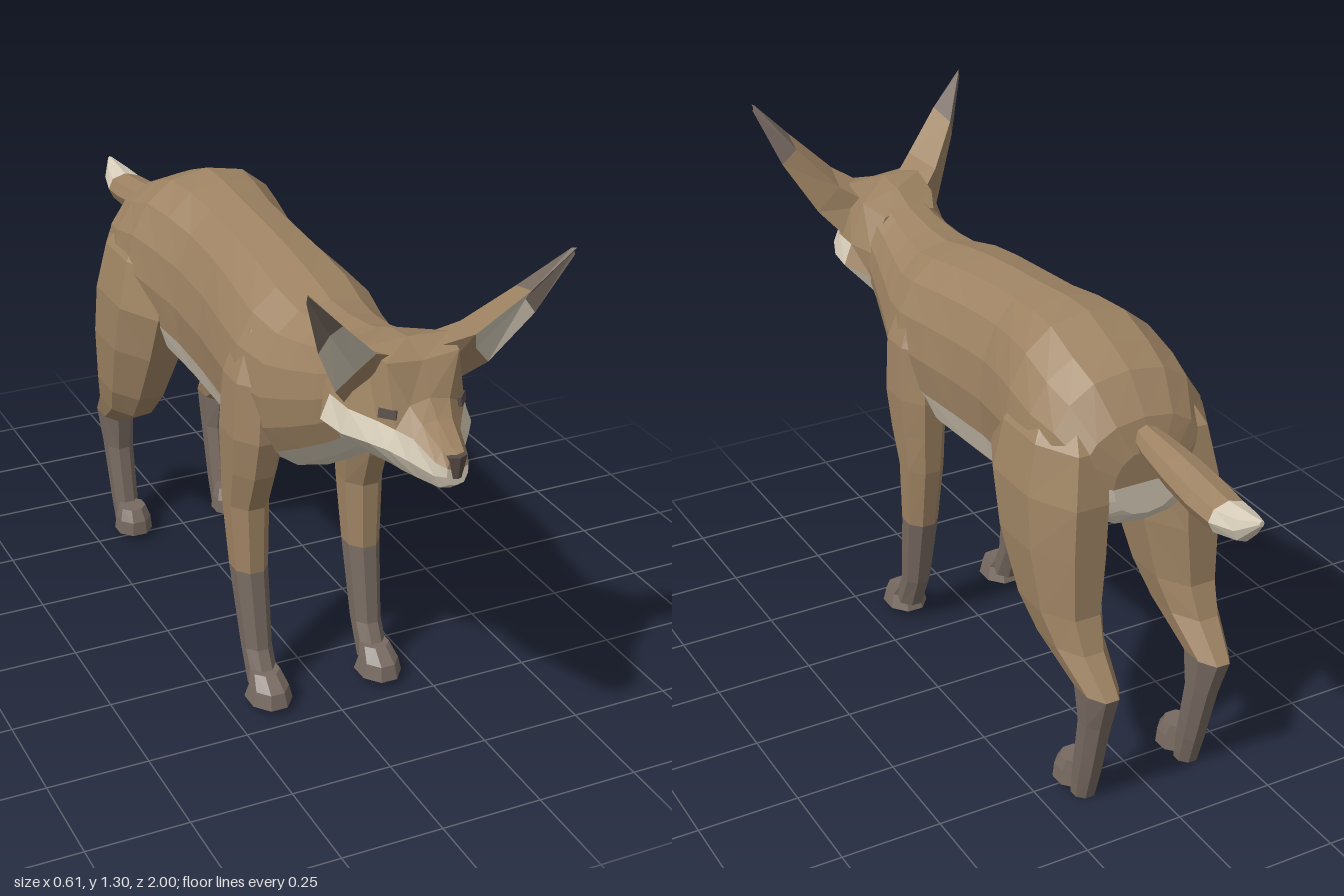
import * as THREE from 'three';

const mat = (name, color) => Object.assign(new THREE.MeshStandardMaterial({ color }), { name });
const V = (x, y, z) => new THREE.Vector3(x, y, z);

// Closed, faceted skin through a list of rings; pick(i, j) chooses the material of each quad.
function loft(name, rings, mats, pick = () => 0) {
  const buckets = mats.map(() => []);
  const n = rings[0].length, last = rings.length - 1;
  let volume = 0;
  const tri = (m, a, b, c) => {
    volume += a.dot(b.clone().cross(c));
    buckets[m].push([a, b, c]);
  };
  for (let i = 0; i < last; i++) {
    for (let j = 0; j < n; j++) {
      const k = (j + 1) % n, m = pick(i, j);
      const a = rings[i][j], b = rings[i][k], c = rings[i + 1][k], d = rings[i + 1][j];
      tri(m, a, b, c);
      tri(m, a, c, d);
    }
  }
  for (const i of [0, last]) {
    const mid = rings[i].reduce((s, p) => s.add(p), V(0, 0, 0)).divideScalar(n);
    for (let j = 0; j < n; j++) {
      const p = rings[i][j], q = rings[i][(j + 1) % n], m = pick(i === 0 ? 0 : last - 1, j);
      if (i === 0) tri(m, mid, q, p);
      else tri(m, mid, p, q);
    }
  }
  // Keep faces pointing outward whichever way the rings run
  const pos = [], geo = new THREE.BufferGeometry();
  buckets.forEach((list, m) => {
    geo.addGroup(pos.length / 3, list.length * 3, m);
    for (const [a, b, c] of list) {
      for (const p of volume > 0 ? [a, b, c] : [a, c, b]) pos.push(p.x, p.y, p.z);
    }
  });
  geo.setAttribute('position', new THREE.Float32BufferAttribute(pos, 3));
  geo.computeVertexNormals();
  const mesh = new THREE.Mesh(geo, mats);
  mesh.name = name;
  return mesh;
}

// Upright ring for the body and tail: [z, top, bottom, half width]
const uprightRing = (n) => ([z, top, bot, hw]) => Array.from({ length: n }, (_, j) => {
  const a = (j / n) * Math.PI * 2, s = Math.sin(a);
  return V(hw * Math.sign(s) * Math.abs(s) ** 0.85, (top + bot) / 2 + Math.cos(a) * (top - bot) / 2, z);
});

// Level ring for the legs: [y, x, z, half width, half depth]
const legRing = (side) => ([y, x, z, hx, hz]) => Array.from({ length: 8 }, (_, j) => {
  const a = ((j + 0.5) / 8) * Math.PI * 2;
  return V(side * (x + hx * 1.08 * Math.cos(a)), y, z + hz * 1.08 * Math.sin(a));
});

// Half outline from the crown to the chin, mirrored to a full ring
const headRing = ([z, half]) => {
  const right = half.slice(1, -1).reverse();
  return [...half.map(([x, y]) => V(x, y, z)), ...right.map(([x, y]) => V(-x, y, z))];
};

export function createModel() {
  const fur = mat('brown fur', 0x9e8363);
  const cream = mat('cream fur', 0xd6ccb8);
  const dark = mat('dark stocking', 0x776a61);
  const black = mat('nose and eye', 0x574b46);
  const group = new THREE.Group();
  group.name = 'fox';

  // Neck and torso with a cream bib, belly and rump patch
  const torso = [
    [0.76, 1.08, 0.84, 0.08], [0.68, 1.075, 0.81, 0.11], [0.58, 1.05, 0.735, 0.125],
    [0.48, 1.037, 0.67, 0.15], [0.40, 1.037, 0.62, 0.175], [0.30, 1.06, 0.60, 0.197],
    [0.18, 1.08, 0.585, 0.187], [0.05, 1.095, 0.58, 0.175], [-0.10, 1.107, 0.59, 0.175],
    [-0.20, 1.118, 0.61, 0.195], [-0.30, 1.118, 0.64, 0.217], [-0.40, 1.08, 0.66, 0.22],
    [-0.48, 1.045, 0.69, 0.205], [-0.55, 0.96, 0.70, 0.165], [-0.572, 0.89, 0.73, 0.09],
  ];
  group.add(loft('body', torso.map(uprightRing(16)), [fur, cream], (i, j) => {
    const down = j < 8 ? j : 15 - j;
    const edge = i < 5 ? 6 : i < 13 ? 5 : 4;
    return down >= edge ? 1 : 0;
  }));

  // Head, with cream cheeks and jaw
  const head = [
    [0.99, [[0, 0.922], [0.018, 0.92], [0.024, 0.9], [0.024, 0.88], [0.016, 0.862], [0, 0.858]]],
    [0.965, [[0, 0.93], [0.024, 0.928], [0.038, 0.905], [0.04, 0.875], [0.026, 0.845], [0, 0.84]]],
    [0.90, [[0, 0.965], [0.035, 0.96], [0.055, 0.932], [0.067, 0.885], [0.045, 0.842], [0, 0.835]]],
    [0.865, [[0, 1.0], [0.047, 0.99], [0.078, 0.942], [0.097, 0.90], [0.06, 0.845], [0, 0.837]]],
    [0.83, [[0, 1.07], [0.085, 1.078], [0.103, 0.952], [0.122, 0.905], [0.07, 0.847], [0, 0.838]]],
    [0.76, [[0, 1.095], [0.10, 1.09], [0.135, 0.955], [0.15, 0.90], [0.09, 0.845], [0, 0.83]]],
    [0.68, [[0, 1.085], [0.10, 1.06], [0.138, 0.955], [0.16, 0.90], [0.10, 0.84], [0, 0.80]]],
    [0.61, [[0, 1.055], [0.07, 1.04], [0.115, 0.95], [0.115, 0.88], [0.08, 0.81], [0, 0.77]]],
  ];
  group.add(loft('head', head.map(headRing), [fur, cream], (i, j) => {
    const down = j < 5 ? j : 9 - j;
    return down >= (i < 6 ? 2 : 3) ? 1 : 0;
  }));

  const nose = new THREE.Mesh(new THREE.CylinderGeometry(0.024, 0.017, 0.05, 6).toNonIndexed(), black);
  nose.geometry.computeVertexNormals();
  nose.name = 'nose';
  nose.scale.z = 0.8;
  nose.position.set(0, 0.899, 0.981);
  group.add(nose);

  // Tail with a cream tip
  const tail = [
    [-0.53, 0.945, 0.89, 0.025], [-0.60, 0.94, 0.872, 0.04], [-0.70, 0.934, 0.852, 0.05],
    [-0.80, 0.921, 0.84, 0.055], [-0.88, 0.911, 0.835, 0.05], [-0.95, 0.917, 0.848, 0.034],
    [-1.0, 0.922, 0.908, 0.006],
  ];
  group.add(loft('tail', tail.map(uprightRing(8)), [fur, cream], (i) => (i >= 4 ? 1 : 0)));

  const frontLeg = [
    [0.96, 0.10, 0.295, 0.06, 0.06], [0.84, 0.137, 0.298, 0.066, 0.095], [0.70, 0.145, 0.295, 0.066, 0.10],
    [0.60, 0.148, 0.285, 0.058, 0.085], [0.50, 0.15, 0.268, 0.05, 0.063], [0.33, 0.15, 0.285, 0.042, 0.05],
    [0.13, 0.148, 0.325, 0.034, 0.04], [0.04, 0.148, 0.37, 0.034, 0.045],
  ];
  const frontPaw = [
    [0.085, 0.148, 0.375, 0.034, 0.035], [0.055, 0.148, 0.40, 0.043, 0.052], [0.018, 0.148, 0.397, 0.052, 0.064],
  ];
  const hindLeg = [
    [1.02, 0.10, -0.36, 0.05, 0.08], [0.90, 0.13, -0.375, 0.09, 0.175], [0.78, 0.145, -0.378, 0.10, 0.198],
    [0.65, 0.15, -0.405, 0.098, 0.172], [0.50, 0.155, -0.45, 0.08, 0.128], [0.42, 0.155, -0.50, 0.062, 0.108],
    [0.335, 0.15, -0.612, 0.042, 0.072], [0.24, 0.147, -0.605, 0.036, 0.046],
    [0.08, 0.145, -0.57, 0.032, 0.038], [0, 0.145, -0.553, 0.028, 0.03],
  ];
  const hindPaw = [
    [0.085, 0.145, -0.515, 0.034, 0.035], [0.055, 0.145, -0.507, 0.043, 0.046], [0.018, 0.145, -0.508, 0.047, 0.05],
  ];
  // Ear rings: front edge, back ridge, outer edge, hollow
  const ear = [
    [[0.06, 1.08, 0.80], [0.07, 1.05, 0.68], [0.125, 0.95, 0.73], [0.08, 1.0, 0.77]],
    [[0.115, 1.112, 0.843], [0.14, 1.095, 0.735], [0.18, 1.015, 0.79], [0.14, 1.06, 0.805]],
    [[0.215, 1.21, 0.888], [0.225, 1.19, 0.81], [0.25, 1.14, 0.85], [0.225, 1.175, 0.85]],
    [[0.303, 1.297, 0.908], [0.298, 1.295, 0.898], [0.303, 1.28, 0.903], [0.301, 1.288, 0.902]],
  ];

  // Legs, paws, ears and eyes on both sides
  for (const side of [1, -1]) {
    const label = side > 0 ? 'left' : 'right';
    const ring = legRing(side);
    group.add(
      loft(label + 'FrontLeg', frontLeg.map(ring), [fur, dark], (i) => (i >= 5 ? 1 : 0)),
      loft(label + 'FrontPaw', frontPaw.map(ring), [dark]),
      loft(label + 'HindLeg', hindLeg.map(ring), [fur, dark], (i) => (i >= 6 ? 1 : 0)),
      loft(label + 'HindPaw', hindPaw.map(ring), [dark]),
      loft(label + 'Ear', ear.map((r) => r.map(([x, y, z]) => V(side * x, y, z))), [fur, cream, dark],
        (i, j) => (i === 2 ? 2 : i === 1 && j >= 2 ? 1 : 0)),
    );
    const eye = new THREE.Mesh(new THREE.BoxGeometry(0.04, 0.02, 0.008), black);
    eye.name = label + 'Eye';
    eye.position.set(side * 0.087, 0.972, 0.846);
    eye.lookAt(side * (0.087 + 0.38), 0.972 + 0.08, 0.846 + 0.34);
    group.add(eye);
  }
  return group;
}
